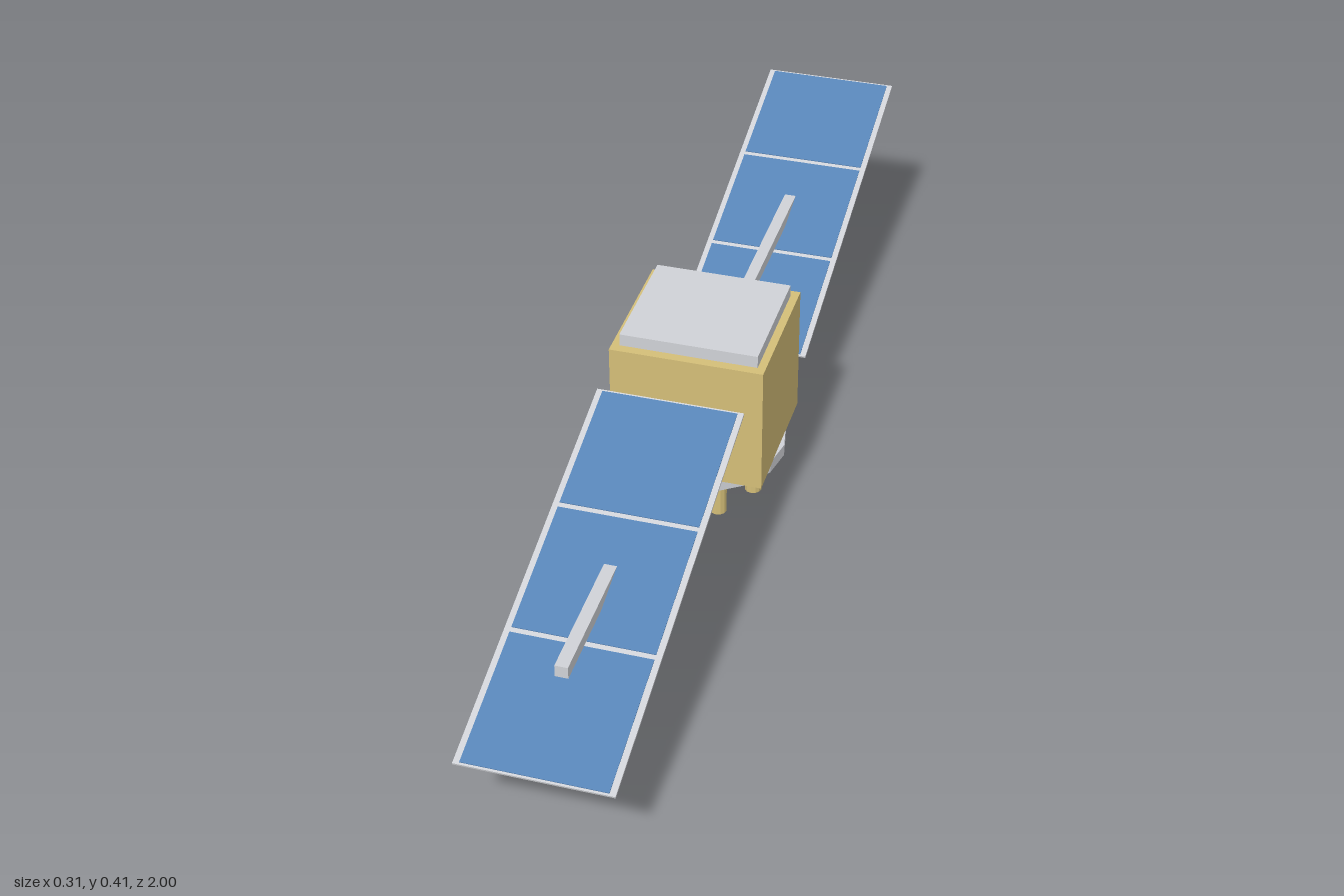
import * as THREE from 'three';

const material = (name, color) => {
  const m = new THREE.MeshStandardMaterial({ color });
  m.name = name;
  return m;
};

export function createModel() {
  const gold = material('gold foil', 0xd4be78);
  const grey = material('light grey metal', 0xd0d2d7);
  const blue = material('solar blue', 0x5885b8);
  const model = new THREE.Group();
  model.name = 'satellite';

  const add = (parent, name, geometry, mat, x, y, z) => {
    const mesh = new THREE.Mesh(geometry, mat);
    mesh.name = name;
    mesh.position.set(x, y, z);
    parent.add(mesh);
    return mesh;
  };
  const box = (parent, name, mat, w, h, d, x, y, z) =>
    add(parent, name, new THREE.BoxGeometry(w, h, d), mat, x, y, z);
  // Faceted upright cylinder from y0 to y1
  const post = (name, mat, r, y0, y1, x, z, sides) => {
    const g = new THREE.CylinderGeometry(r, r, y1 - y0, sides).toNonIndexed();
    g.computeVertexNormals();
    add(model, name, g, mat, x, (y0 + y1) / 2, z);
  };

  // Main body with its cover plate and base ring
  box(model, 'body', gold, 0.29, 0.26, 0.276, 0, 0.26, 0);
  box(model, 'topPlate', grey, 0.26, 0.024, 0.24, 0, 0.402, 0);
  post('baseRing', grey, 0.154, 0.108, 0.132, 0, 0, 16);

  // One central thruster and six around it
  post('centreThruster', gold, 0.019, 0, 0.11, 0, 0, 12);
  for (let i = 0; i < 6; i++) {
    const a = (i * Math.PI) / 3;
    post('thruster', gold, 0.0165, 0.015, 0.11, 0.094 * Math.cos(a), 0.094 * Math.sin(a), 12);
  }

  // Boom and tilted solar wing on each end
  const length = 0.79, gap = 0.01, margin = 0.004;
  const cell = (length - 2 * margin - 2 * gap) / 3;
  for (const side of [1, -1]) {
    box(model, 'boom', grey, 0.023, 0.023, 0.73, 0, 0.27, side * 0.485);

    const wing = new THREE.Group();
    wing.name = 'solarWing';
    wing.position.set(0, 0.271, side * 0.617);
    wing.rotation.x = Math.atan2(0.198, 0.765);
    box(wing, 'wingFrame', grey, 0.272, 0.004, length, 0, 0, 0);
    // Cells stand slightly proud of the frame on both faces
    for (let i = -1; i <= 1; i++) {
      box(wing, 'solarCells', blue, 0.25, 0.007, cell, 0, 0, i * (cell + gap));
    }
    model.add(wing);
  }
  return model;
}
